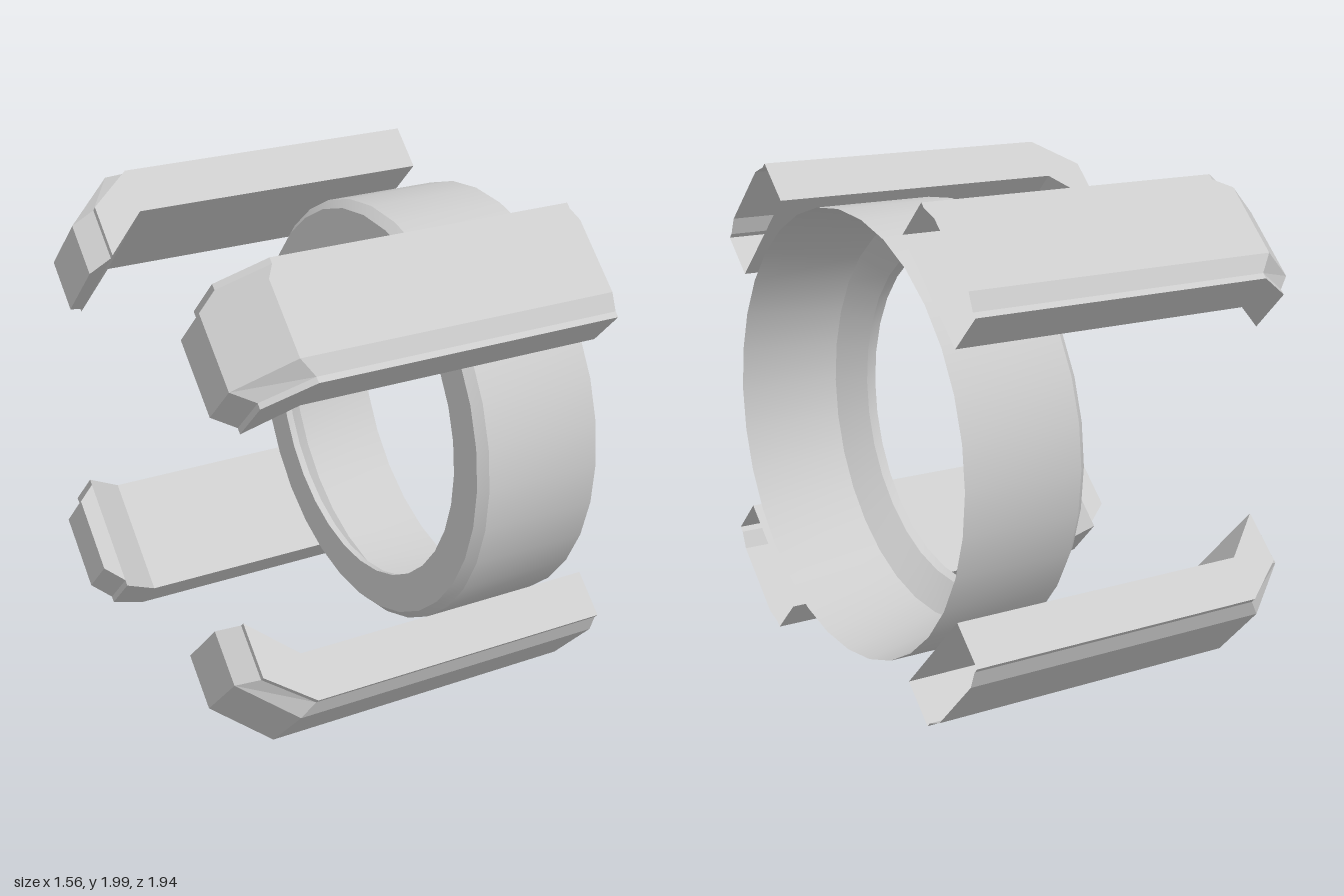
import * as THREE from 'three';
import { toCreasedNormals } from 'three/addons/utils/BufferGeometryUtils.js';

const grey = new THREE.MeshStandardMaterial({ color: 0xcccccc, side: THREE.DoubleSide });
grey.name = 'light grey';

const AXIS_Y = 1;      // height of the ring's centre
const SHIFT = -0.02;   // the arms sit slightly off the diagonal

// Mirror a half section of [x, t, r] points into a closed loop
const loop = (half) => [...half, ...half.slice().reverse().map(([x, t, r]) => [x, -t, r])];

// Arm: hollow beam along x with a hooked, chamfered tip; t is across, r is radial
function armGeometry(sy, sz) {
  const lipIn = [-0.70, 0.225, 0.78], lipOut = [-0.70, 0.225, 1.0];
  const endIn = [-0.78, 0.157, 0.76], endOut = [-0.78, 0.157, 0.98];
  const stations = [
    // open end
    [[0.78, 0.225, 0.95], [0.78, 0.25, 0.95], [0.78, 0.25, 1.14], [0.78, 0.225, 1.14], [0.78, 0.157, 1.17]],
    // bend
    [[-0.52, 0.225, 0.95], [-0.52, 0.25, 0.95], [-0.52, 0.25, 1.14], [-0.52, 0.225, 1.14], [-0.57, 0.157, 1.17]],
    // end of the side lips
    [lipIn, [-0.70, 0.25, 0.78], [-0.70, 0.25, 1.0], lipOut, endOut],
    [lipIn, lipIn, lipOut, lipOut, endOut],
    // blunt tip
    [endIn, endIn, endOut, endOut, endOut],
  ].map(loop);

  const place = ([x, t, r]) => new THREE.Vector3(
    x,
    AXIS_Y + sy * (r - t - SHIFT) * Math.SQRT1_2,
    sz * (r + t + SHIFT) * Math.SQRT1_2,
  );
  const positions = [];
  const triangle = (a, b, c) => {
    const p = (sy * sz > 0 ? [a, b, c] : [a, c, b]).map(place);
    const area = p[1].clone().sub(p[0]).cross(p[2].clone().sub(p[0])).length();
    if (area > 1e-7) p.forEach((v) => positions.push(v.x, v.y, v.z));
  };
  const quad = (a, b, c, d) => { triangle(a, b, c); triangle(a, c, d); };

  for (let i = 0; i < stations.length - 1; i++) {
    const s = stations[i], n = stations[i + 1];
    for (let j = 0; j < s.length; j++) {
      const k = (j + 1) % s.length;
      quad(s[j], s[k], n[k], n[j]);
    }
  }
  const end = stations[stations.length - 1];
  quad(end[0], end[4], end[5], end[9]);

  const geometry = new THREE.BufferGeometry();
  geometry.setAttribute('position', new THREE.Float32BufferAttribute(positions, 3));
  geometry.computeVertexNormals();
  return geometry;
}

// Ring: chamfered outside, flared inside to a sharp rim
function ringGeometry() {
  const profile = [
    [0.70, 0.24], [0.86, 0.24], [0.893, 0.275], [0.893, 0.78],
    [0.82, 0.37], [0.71, 0.275], [0.70, 0.24],
  ].map(([r, x]) => new THREE.Vector2(r, x));
  const geometry = new THREE.LatheGeometry(profile, 32);
  geometry.rotateZ(-Math.PI / 2);
  geometry.translate(0, AXIS_Y, 0);
  return toCreasedNormals(geometry, 0.55);
}

export function createModel() {
  const model = new THREE.Group();
  model.name = 'ringWithFourArms';

  const ring = new THREE.Mesh(ringGeometry(), grey);
  ring.name = 'ring';
  model.add(ring);

  for (const sy of [1, -1]) {
    for (const sz of [1, -1]) {
      const arm = new THREE.Mesh(armGeometry(sy, sz), grey);
      arm.name = (sy > 0 ? 'upper' : 'lower') + (sz > 0 ? 'Front' : 'Back') + 'Arm';
      model.add(arm);
    }
  }
  return model;
}
